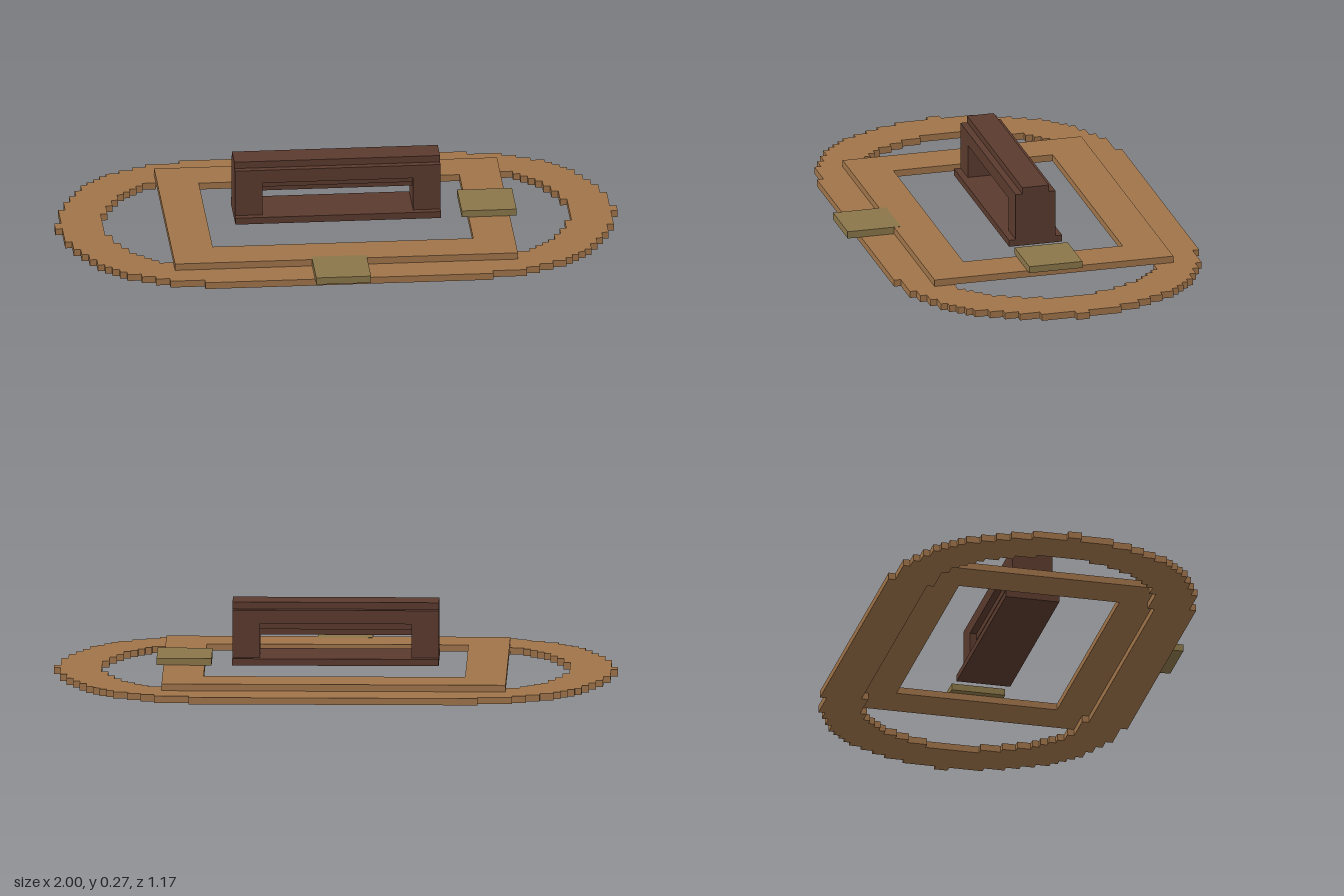
import * as THREE from 'three';

const U = 2 / 82; // size of one block

const ochre = new THREE.MeshStandardMaterial({ color: 0xa0744a });
ochre.name = 'ochre wood';
const umber = new THREE.MeshStandardMaterial({ color: 0x5a3a2e });
umber.name = 'dark wood';
const olive = new THREE.MeshStandardMaterial({ color: 0x8a7649 });
olive.name = 'olive';

// Corner points of an oval with blocky, stepped ends
function steppedOval(cx, a, b, rows, tip = 0) {
  const extent = (d) => {
    const j = d < 0 ? -d - 1 : d;
    const n = Math.floor(a * Math.sqrt(Math.max(0, 1 - ((j + 0.5) / b) ** 2)) + 0.5);
    return cx + n + (j === 0 ? tip : 0);
  };
  const right = [];
  for (let d = -rows; d < rows; d++) {
    const e = extent(d);
    right.push(new THREE.Vector2(e, d), new THREE.Vector2(e, d + 1));
  }
  const left = right.map((p) => new THREE.Vector2(-p.x, p.y)).reverse();
  // Drop points shared by rows of equal length
  return [...right, ...left].filter((p, i, all) => i === 0 || !p.equals(all[i - 1]));
}

// Flat slab with a hole, one block thick, centred on the z = -1 block line
function slab(name, outline, hole, y) {
  const shape = new THREE.Shape(outline);
  shape.holes.push(new THREE.Path(hole));
  const geo = new THREE.ExtrudeGeometry(shape, { depth: 1, bevelEnabled: false });
  geo.rotateX(-Math.PI / 2).translate(0, y, -1).scale(U, U, U);
  const mesh = new THREE.Mesh(geo, ochre);
  mesh.name = name;
  return mesh;
}

// Box given by its limits in blocks
function box(name, mat, x0, x1, y0, y1, z0, z1) {
  const geo = new THREE.BoxGeometry((x1 - x0) * U, (y1 - y0) * U, (z1 - z0) * U);
  const mesh = new THREE.Mesh(geo, mat);
  mesh.name = name;
  mesh.position.set((x0 + x1) / 2 * U, (y0 + y1) / 2 * U, (z0 + z1) / 2 * U);
  return mesh;
}

const rect = (w, h) => [[w, -h], [w, h], [-w, h], [-w, -h]].map((p) => new THREE.Vector2(...p));

export function createModel() {
  const model = new THREE.Group();
  model.name = 'oval court';

  // Oval track and the rectangular frame on it
  model.add(slab('ovalTrack', steppedOval(20, 20.3, 22.51, 23, 1), steppedOval(20, 13.9, 16.51, 17), 0));
  model.add(slab('innerFrame', rect(25, 18), rect(19, 12), 1));

  // Olive landing plates
  model.add(box('frontPlate', olive, -5, 3, 0.98, 2.03, 16, 24));
  model.add(box('sidePlate', olive, 18, 26, 2, 3, -5, 3));

  // Central pavilion, open at front and back
  const pavilion = new THREE.Group();
  pavilion.name = 'pavilion';
  pavilion.add(box('base', umber, -15, 15, 2, 3, -5, 3));
  for (const s of [-1, 1]) {
    const [x0, x1] = s < 0 ? [-15, -11] : [11, 15];
    pavilion.add(box('endWall', umber, x0, x1, 3, 8, -4, 2));
  }
  pavilion.add(box('roof', umber, -15, 15, 8, 10, -4, 2));
  pavilion.add(box('roofCap', umber, -15, 15, 10, 11, -3, 1));
  // Stepped beams below the roof
  pavilion.add(box('upperBeam', umber, -11, 11, 7, 8, -3, 1));
  pavilion.add(box('lowerBeam', umber, -11, 11, 6, 7, -2, 0));
  model.add(pavilion);

  return model;
}
